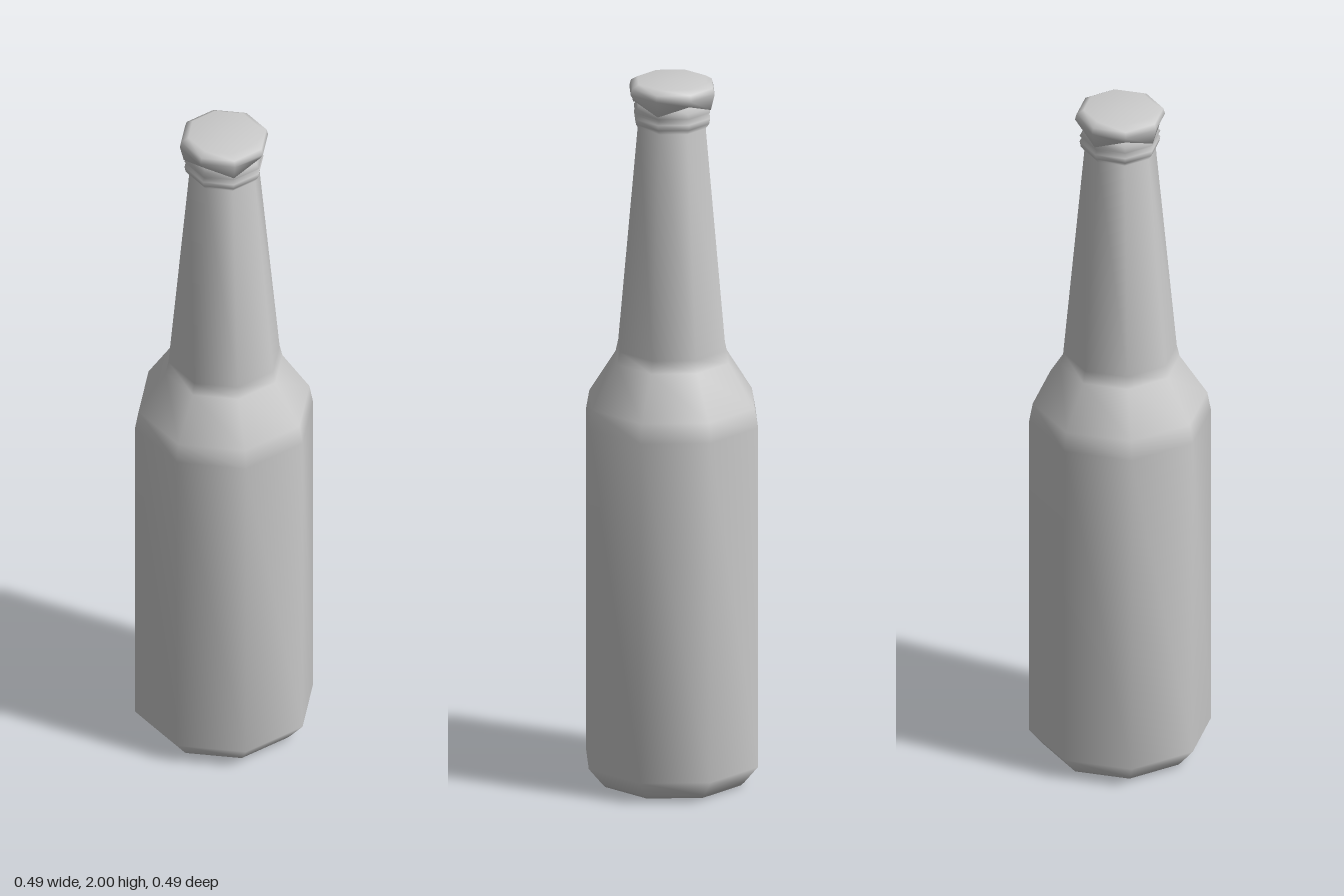
import * as THREE from 'three';
import { mergeVertices } from 'three/addons/utils/BufferGeometryUtils.js';

const SIDES = 8;
const TURN = 0.2; // rotation of the octagon about the bottle's axis

// Eight-sided smooth lathe; bend may move each vertex by a rule
function turned(name, profile, bend) {
  const points = profile.map(([r, y]) => new THREE.Vector2(r, y));
  let geo = new THREE.LatheGeometry(points, SIDES, TURN);
  geo.deleteAttribute('uv');
  geo.deleteAttribute('normal');
  if (bend) {
    const p = geo.attributes.position;
    for (let i = 0; i < p.count; i++) {
      const angle = Math.atan2(p.getX(i), p.getZ(i));
      p.setY(i, p.getY(i) + bend(angle, p.getY(i)));
    }
  }
  geo = mergeVertices(geo, 1e-4);
  geo.computeVertexNormals();
  const material = new THREE.MeshStandardMaterial({ color: 0xcccccc, side: THREE.DoubleSide });
  const mesh = new THREE.Mesh(geo, material);
  mesh.name = name;
  return mesh;
}

export function createModel() {
  const bottle = new THREE.Group();
  bottle.name = 'bottle';

  // Glass: chamfered base, straight body, shoulder, tapering neck and lip rings
  bottle.add(turned('glassBody', [
    [0, 0], [0.2, 0.002], [0.21, 0.012], [0.25, 0.06],
    [0.25, 1.03], [0.24, 1.085], [0.164, 1.205], [0.156, 1.24],
    [0.098, 1.87], [0.108, 1.884], [0.111, 1.9], [0.102, 1.908],
    [0.111, 1.917], [0.104, 1.928], [0.1, 1.96], [0, 1.965],
  ]));

  // Crown cap: the rim alternates up and down from corner to corner
  bottle.add(turned('crownCap', [
    [0.1, 1.945], [0.113, 1.938], [0.124, 1.97], [0.119, 1.987], [0.1, 1.998], [0, 2],
  ], (angle, y) => (y < 1.95 ? 0.014 * Math.cos(4 * (angle - TURN)) : 0)));

  return bottle;
}
